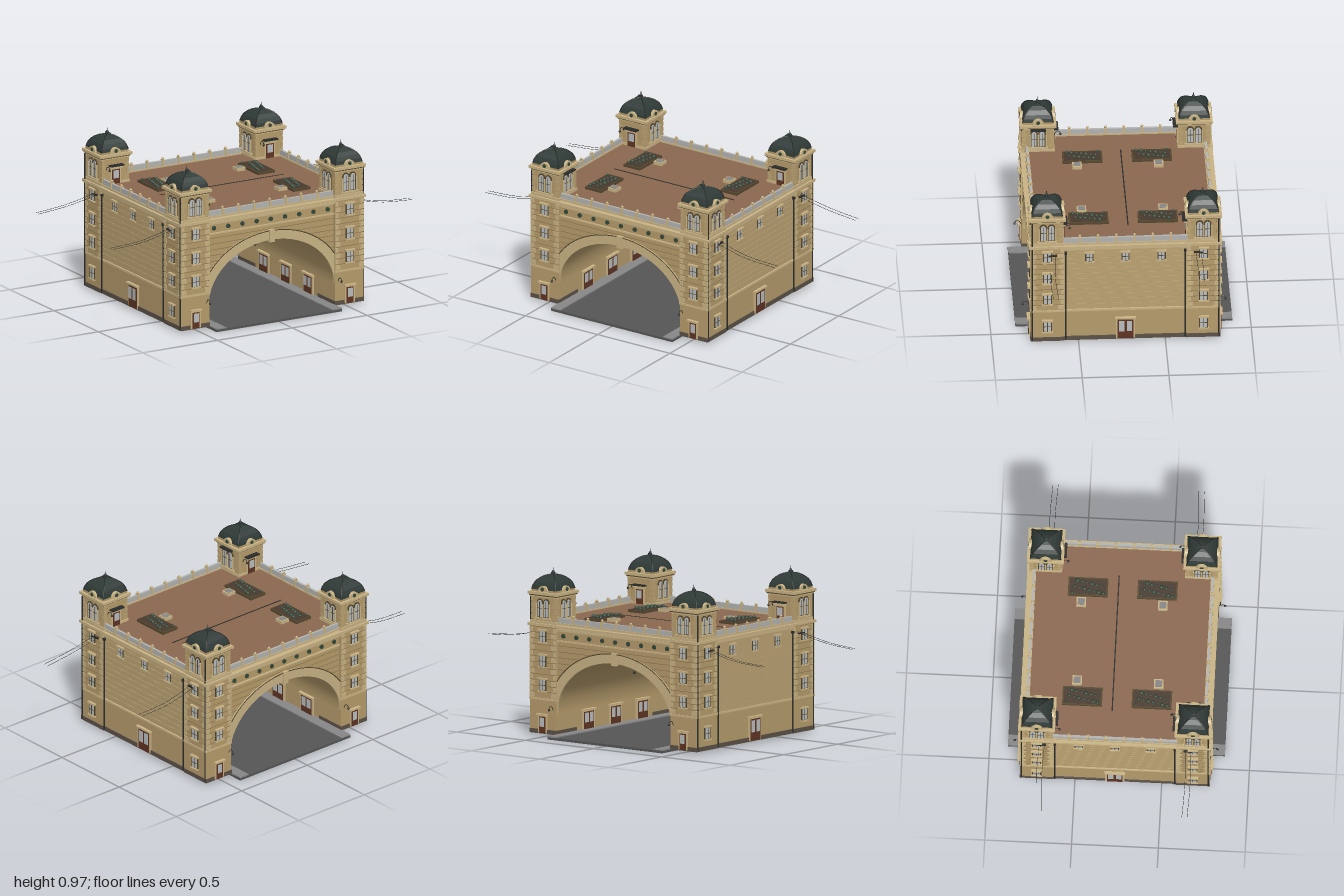
import * as THREE from 'three';

const CZ = 0.23; // middle of the building along z
const C = {
  wall: 0xb59b6b, course: 0xbba272, trim: 0xc9b384, groove: 0x8a744c, plinth: 0x5b5146, dark: 0x2a2c2a,
  dome: 0x2f3a37, glass: 0xb9bdbd, door: 0x5e3423, roof: 0x8b6750, road: 0x555555, walk: 0x868686,
  parapet: 0xb3b3b0, green: 0x33483a, soil: 0x4a3a2e, frame: 0x55482f,
};
const mats = {};
const mat = (k) => (mats[k] ??= new THREE.MeshStandardMaterial({ color: C[k] }));

function add(parent, name, geo, color, x = 0, y = 0, z = 0) {
  const m = new THREE.Mesh(geo, mat(color));
  m.name = name;
  m.position.set(x, y, z);
  parent.add(m);
  return m;
}
const box = (p, name, color, w, h, d, x, y, z) => add(p, name, new THREE.BoxGeometry(w, h, d), color, x, y, z);
const rod = (p, name, color, r, h, x, y, z, n = 8) => add(p, name, new THREE.CylinderGeometry(r, r, h, n), color, x, y, z);
const ball = (p, name, color, r, x, y, z) => add(p, name, new THREE.SphereGeometry(r, 10, 8), color, x, y, z);
const tube = (p, name, color, pts, r, n = 16) =>
  add(p, name, new THREE.TubeGeometry(new THREE.CatmullRomCurve3(pts.map((a) => new THREE.Vector3(...a))), n, r, 5), color);
const extrude = (shape, depth, curveSegments = 12) =>
  new THREE.ExtrudeGeometry(shape, { depth, bevelEnabled: false, curveSegments });

// Empty group on a wall: local +z points out of the wall
function face(parent, name, ry, cx, cz, off) {
  const g = new THREE.Group();
  g.name = name;
  g.rotation.y = ry;
  g.position.set(cx + Math.sin(ry) * off, 0, cz + Math.cos(ry) * off);
  parent.add(g);
  return g;
}

// Sash window with surround, sill and hood
function sash(p, x, y, w, h) {
  box(p, 'windowFrame', 'frame', w + 0.012, h + 0.008, 0.008, x, y, 0.002);
  box(p, 'windowGlass', 'glass', w, h, 0.006, x, y, 0.005);
  box(p, 'windowBar', 'frame', w, 0.003, 0.004, x, y, 0.008);
  box(p, 'windowMullion', 'frame', 0.003, h, 0.004, x, y, 0.008);
  box(p, 'windowSill', 'trim', w + 0.022, 0.008, 0.018, x, y - h / 2 - 0.006, 0.005);
  box(p, 'windowHood', 'trim', w + 0.022, 0.01, 0.02, x, y + h / 2 + 0.007, 0.006);
}

// Door standing on y = 0.02 with glazed upper part
function door(p, x, w, h, base = 0.02) {
  box(p, 'doorFrame', 'trim', w + 0.02, h + 0.012, 0.012, x, base + h / 2 + 0.006, 0.002);
  box(p, 'doorLeaf', 'door', w, h, 0.01, x, base + h / 2, 0.006);
  const n = w > 0.08 ? 2 : 1;
  for (let i = 0; i < n; i++)
    box(p, 'doorGlass', 'glass', w / n - 0.014, h * 0.55, 0.004, x + (i - (n - 1) / 2) * (w / n), base + h * 0.66, 0.011);
  box(p, 'doorHood', 'trim', w + 0.03, 0.01, 0.026, x, base + h + 0.012, 0.006);
}

const archShape = (w, h) => {
  const s = new THREE.Shape();
  s.moveTo(-w / 2, 0).lineTo(w / 2, 0).lineTo(w / 2, h - w / 2);
  s.absarc(0, h - w / 2, w / 2, 0, Math.PI);
  return s;
};

// Pair of arched belfry windows
function twinArches(p) {
  box(p, 'belfrySill', 'trim', 0.115, 0.01, 0.022, 0, 0.685, 0.004);
  for (const s of [-1, 1]) {
    add(p, 'belfryFrame', extrude(archShape(0.043, 0.11), 0.006), 'frame', s * 0.023, 0.69, 0);
    add(p, 'belfryGlass', extrude(archShape(0.03, 0.098), 0.004), 'glass', s * 0.023, 0.694, 0.004);
    box(p, 'belfryBar', 'frame', 0.03, 0.003, 0.004, s * 0.023, 0.745, 0.008);
    box(p, 'belfryMullion', 'frame', 0.003, 0.09, 0.004, s * 0.023, 0.738, 0.008);
  }
  for (const x of [-0.047, 0, 0.047]) rod(p, 'belfryColumn', 'trim', 0.005, 0.08, x, 0.73, 0.008);
}

function wallLamp(p, x, y) {
  tube(p, 'lampArm', 'dark', [[x, y - 0.015, 0], [x, y + 0.008, 0.015], [x, y + 0.008, 0.035], [x, y - 0.005, 0.04]], 0.002);
  ball(p, 'lampGlobe', 'dark', 0.007, x, y - 0.008, 0.04);
}

// Corner tower; sx and sz give its corner
function tower(root, sx, sz) {
  const cx = sx * 0.515, cz = CZ + sz * 0.45;
  const g = new THREE.Group();
  g.name = 'cornerTower';
  root.add(g);
  const slab = (name, color, half, y0, y1) => box(g, name, color, half * 2, y1 - y0, half * 2, cx, (y0 + y1) / 2, cz);
  slab('towerShaft', 'wall', 0.095, 0.04, 0.65);
  slab('towerPlinth', 'plinth', 0.098, 0.015, 0.04);
  slab('stringCourse', 'trim', 0.099, 0.21, 0.222);
  slab('shaftCornice', 'trim', 0.106, 0.64, 0.655);
  slab('belfryBase', 'trim', 0.096, 0.655, 0.672);
  slab('belfry', 'wall', 0.09, 0.655, 0.82);
  slab('belfryFrieze', 'trim', 0.095, 0.808, 0.815);
  slab('belfryCornice', 'trim', 0.106, 0.822, 0.838);
  slab('corniceShadow', 'frame', 0.099, 0.815, 0.822);
  slab('domeDrum', 'wall', 0.09, 0.838, 0.85);

  // Four-sided curved dome with ribs and finial
  const profile = [[0.089, 0.85], [0.084, 0.87], [0.074, 0.892], [0.055, 0.913], [0.03, 0.928], [0, 0.935]];
  const dg = new THREE.LatheGeometry(profile.map(([r, y]) => new THREE.Vector2(r * Math.SQRT2, y)), 4, Math.PI / 4).toNonIndexed();
  dg.computeVertexNormals();
  add(g, 'dome', dg, 'dome', cx, 0, cz);
  for (const a of [-1, 1]) for (const b of [-1, 1])
    tube(g, 'domeRib', 'dark', profile.map(([r, y]) => [cx + a * r, y, cz + b * r]), 0.003);
  rod(g, 'finialBase', 'dome', 0.012, 0.014, cx, 0.938, cz);
  ball(g, 'finialBall', 'dome', 0.008, cx, 0.948, cz);
  rod(g, 'finialSpike', 'dark', 0.002, 0.03, cx, 0.955, cz);

  // Belfry faces: arched gable with roundel on each side, windows or roof door below
  const outer = sz > 0 ? 0 : Math.PI, side = sx * Math.PI / 2;
  for (const ry of [outer, side, -side, outer + Math.PI]) {
    const f = face(g, 'belfryFace', ry, cx, cz, 0.09);
    const gable = new THREE.Shape().absarc(0, 0, 0.034, 0, Math.PI);
    add(f, 'archedGable', extrude(gable, 0.022), 'trim', 0, 0.84, -0.012);
    const r = add(f, 'gableRoundel', new THREE.CylinderGeometry(0.011, 0.011, 0.005, 16), 'green', 0, 0.855, 0.011);
    r.rotation.x = Math.PI / 2;
    const inner = ry === outer + Math.PI;
    if (inner) {
      door(f, 0, 0.05, 0.085, 0.66);
      wallLamp(f, -0.06, 0.76);
    } else twinArches(f);
    if (inner || (ry === -side && sx < 0 && sz > 0)) box(f, 'awning', 'dark', 0.09, 0.008, 0.03, 0, inner ? 0.77 : 0.81, 0.015);
    for (const s of [-1, 1]) for (let i = 0; i < 4; i++)
      box(f, 'belfryQuoin', 'course', i % 2 ? 0.018 : 0.026, 0.026, 0.004, s * (i % 2 ? 0.082 : 0.078), 0.692 + i * 0.034, 0.001);
  }

  // Lower storeys on the two outer faces
  for (const ry of [outer, side]) {
    const f = face(g, 'towerFace', ry, cx, cz, 0.095);
    for (const y of [0.582, 0.438, 0.298]) sash(f, 0, y, 0.04, 0.06);
    if (ry === outer) {
      door(f, 0, 0.045, 0.095);
      wallLamp(f, -sx * sz * 0.075, 0.172);
    } else sash(f, 0, 0.115, 0.04, 0.065);
    for (const s of [-1, 1]) for (let i = 0; i < 12; i++) {
      const w = i % 2 ? 0.022 : 0.034;
      box(f, 'quoin', 'trim', w, 0.028, 0.005, s * (0.096 - w / 2), 0.24 + i * 0.0345, 0.001);
    }
    for (let i = 0; i < 12; i++) box(f, 'courseJoint', 'groove', 0.186, 0.003, 0.002, 0, 0.257 + i * 0.0345, 0.0005);
  }
  rod(g, 'cornerDrainpipe', 'dark', 0.004, 0.79, sx * 0.612, 0.415, CZ + sz * 0.538);

  // Sagging cables running outward
  box(g, 'cableBracket', 'dark', 0.016, 0.008, 0.05, sx * 0.614, 0.592, cz - sz * 0.03);
  for (const d of [0.015, 0.045])
    tube(g, 'cable', 'dark', [[sx * 0.61, 0.592, cz - sz * d], [sx * 0.8, 0.552, cz - sz * (d - 0.008)], [sx, 0.535, cz - sz * d]], 0.0012, 20);
}

export function createModel() {
  const root = new THREE.Group();
  root.name = 'archedGatehouse';

  // Road and pavements through the arch
  box(root, 'road', 'road', 0.84, 0.014, 1.25, 0, 0.007, CZ);
  for (const s of [-1, 1]) box(root, 'pavement', 'walk', 0.065, 0.008, 1.25, s * 0.3875, 0.016, CZ);

  // Main block with vaulted passage
  const body = new THREE.Shape();
  body.moveTo(0.602, 0.016).lineTo(0.602, 0.64).lineTo(-0.602, 0.64).lineTo(-0.602, 0.016).lineTo(-0.42, 0.016).lineTo(-0.42, 0.14);
  body.absellipse(0, 0.14, 0.42, 0.33, Math.PI, 0, true);
  body.lineTo(0.42, 0.016);
  add(root, 'mainBlock', extrude(body, 1.05, 40), 'wall', 0, 0, CZ - 0.525);
  box(root, 'mainCornice', 'trim', 1.244, 0.014, 1.11, 0, 0.647, CZ);
  box(root, 'roof', 'roof', 1.17, 0.006, 1.05, 0, 0.655, CZ);

  // Arch faces on front and back
  const ring = new THREE.Shape();
  const t0 = Math.acos(0.42 / 0.48);
  ring.moveTo(0.42, 0.14);
  ring.absellipse(0, 0.14, 0.48, 0.385, t0, Math.PI - t0);
  ring.lineTo(-0.42, 0.14);
  ring.absellipse(0, 0.14, 0.42, 0.33, Math.PI, 0, true);
  for (const ry of [0, Math.PI]) {
    const f = face(root, 'archFace', ry, 0, CZ, 0.525);
    add(f, 'archivolt', extrude(ring, 0.012, 40), 'trim');
    const rim = [];
    for (let i = 0; i <= 16; i++) {
      const t = t0 + (Math.PI - 2 * t0) * i / 16;
      rim.push([Math.cos(t) * 0.48, 0.14 + Math.sin(t) * 0.385, 0.012]);
    }
    tube(f, 'archRim', 'frame', rim, 0.003, 48);
    box(f, 'keystone', 'trim', 0.035, 0.075, 0.026, 0, 0.495, 0.008);
    box(f, 'friezeMoulding', 'trim', 0.84, 0.008, 0.014, 0, 0.562, 0.004);
    box(f, 'corniceMoulding', 'trim', 0.84, 0.012, 0.02, 0, 0.626, 0.006);
    for (let i = -4; i <= 4; i++) {
      const r = add(f, 'friezeRoundel', new THREE.CylinderGeometry(0.013, 0.013, 0.008, 16), 'green', i * 0.095, 0.593, 0.003);
      r.rotation.x = Math.PI / 2;
    }
    for (let i = 0; i < 28; i++) box(f, 'dentil', 'trim', 0.012, 0.01, 0.016, -0.405 + i * 0.03, 0.637, 0.01);
    // Joints beside the arch, cut off where they reach it
    for (let i = 0; i < 9; i++) {
      const y = 0.257 + i * 0.0345, k = (y - 0.14) / 0.385;
      const x = k < 1 ? 0.48 * Math.sqrt(1 - k * k) : 0;
      if (x < 0.41) for (const s of [-1, 1]) box(f, 'courseJoint', 'groove', 0.42 - x, 0.003, 0.002, s * (0.42 + x) / 2, y, 0.0005);
    }
    box(f, 'parapet', 'parapet', 0.84, 0.042, 0.014, 0, 0.675, -0.01);
    box(f, 'parapetFoot', 'trim', 0.84, 0.012, 0.024, 0, 0.66, -0.01);
    for (let i = -3; i <= 3; i++) {
      box(f, 'parapetPost', 'trim', 0.014, 0.048, 0.022, i * 0.105, 0.678, -0.01);
      ball(f, 'parapetFinial', 'trim', 0.008, i * 0.105, 0.708, -0.01);
    }
  }

  // Long side walls
  for (const s of [-1, 1]) {
    const f = face(root, 'sideWall', s * Math.PI / 2, 0, CZ, 0.602);
    box(f, 'sidePlinth', 'plinth', 0.72, 0.025, 0.01, 0, 0.0275, 0.001);
    box(f, 'sideStringCourse', 'trim', 0.72, 0.012, 0.014, 0, 0.216, 0.003);
    for (let i = 0; i < 12; i++) box(f, 'sideCourse', 'course', 0.72, 0.031, 0.004, 0, 0.24 + i * 0.0345, 0.001);
    box(f, 'sideMoulding', 'trim', 0.72, 0.012, 0.022, 0, 0.634, 0.006);
    for (const x of [-0.208, 0, 0.208]) sash(f, x, 0.572, 0.036, 0.052);
    door(f, 0, 0.09, 0.125);
    for (const x of [-0.345, 0.345]) {
      rod(f, 'drainpipe', 'dark', 0.004, 0.585, x, 0.315, 0.01);
      box(f, 'drainpipeHead', 'dark', 0.014, 0.014, 0.014, x, 0.605, 0.01);
    }
    box(f, 'parapet', 'parapet', 0.72, 0.042, 0.014, 0, 0.675, -0.01);
    box(f, 'parapetFoot', 'trim', 0.72, 0.012, 0.024, 0, 0.66, -0.01);
    for (let i = -2.5; i <= 2.5; i++) {
      box(f, 'parapetPost', 'trim', 0.014, 0.048, 0.022, i * 0.105, 0.678, -0.01);
      ball(f, 'parapetFinial', 'trim', 0.008, i * 0.105, 0.708, -0.01);
    }
    // Passage walls inside the arch
    const p = face(root, 'passageWall', -s * Math.PI / 2, s * 0.84, CZ, 0.42);
    for (const x of [-0.25, 0, 0.25]) door(p, x, 0.09, 0.1);
  }

  for (const sx of [-1, 1]) for (const sz of [-1, 1]) {
    tower(root, sx, sz);
    // Roof planters and skylights
    const x = sx * 0.335, z = CZ + sz * 0.2;
    box(root, 'planter', 'frame', 0.112, 0.016, 0.23, x, 0.665, z);
    box(root, 'planterSoil', 'soil', 0.094, 0.004, 0.212, x, 0.673, z);
    for (let i = 0; i < 14; i++)
      ball(root, 'shrub', 'green', 0.008 + (i % 3) * 0.002, x + ((i * 37) % 80 - 40) * 0.001, 0.678, z - 0.09 + i * 0.0138);
    box(root, 'skylight', 'trim', 0.055, 0.02, 0.055, sx * 0.24, 0.667, CZ + sz * 0.235);
    box(root, 'skylightGlass', 'walk', 0.04, 0.004, 0.04, sx * 0.24, 0.677, CZ + sz * 0.235);
  }
  box(root, 'roofDrain', 'dark', 0.83, 0.004, 0.007, 0, 0.658, CZ - 0.025);

  // Lanterns under the vault
  for (const z of [-0.35, 0, 0.35]) {
    rod(root, 'lanternRod', 'dark', 0.002, 0.07, 0, 0.435, CZ + z);
    ball(root, 'lantern', 'dark', 0.009, 0, 0.397, CZ + z);
  }
  return root;
}
